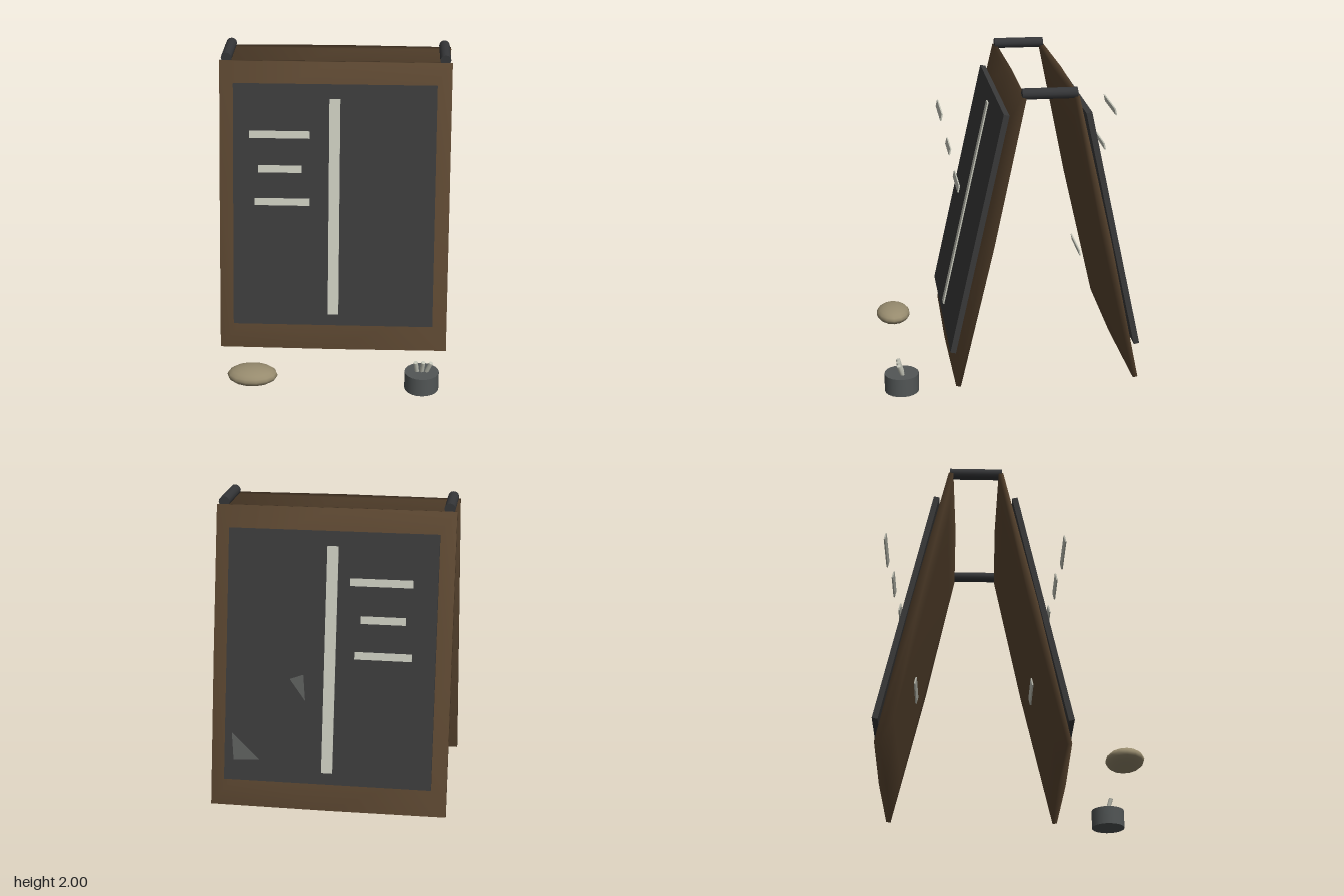
import * as THREE from 'three';

const TILT = 0.216, C = Math.cos(TILT), S = Math.sin(TILT);
const MID_Z = -0.21, LEAF_Y = 1.015, LEAF_Z = 0.365; // leaf centre, measured from the fold plane

const mat = (name, color, extra = {}) =>
  Object.assign(new THREE.MeshStandardMaterial({ color, ...extra }), { name });

// Pillowed wooden panel: thin corners, thicker edge middles, raised inner rectangle
function panelGeometry() {
  const w = 0.75, h = 0.955, iw = 0.55, ih = 0.71;
  const outer = [[-1, -1], [0, -1], [1, -1], [1, 0], [1, 1], [0, 1], [-1, 1], [-1, 0]];
  const pos = [], idx = [];
  for (const s of [1, -1]) {
    outer.forEach(([x, y], i) => pos.push(x * w, y * h, s * (i % 2 ? 0.026 : 0.015)));
    for (let k = 0; k < 4; k++) pos.push(outer[2 * k][0] * iw, outer[2 * k][1] * ih, s * 0.035);
  }
  const tri = (a, b, c) => {
    idx.push(a, b, c);                // front
    idx.push(a + 12, c + 12, b + 12); // back
  };
  for (let k = 0; k < 4; k++) {
    const a = 2 * k, b = a + 1, c = (a + 2) % 8, p = 8 + k, q = 8 + (k + 1) % 4;
    tri(a, b, p);
    tri(b, q, p);
    tri(b, c, q);
  }
  tri(8, 9, 10);
  tri(8, 10, 11);
  for (let i = 0; i < 8; i++) { // rim
    const j = (i + 1) % 8;
    idx.push(i, i + 12, j + 12, i, j + 12, j);
  }
  const g = new THREE.BufferGeometry();
  g.setAttribute('position', new THREE.Float32BufferAttribute(pos, 3));
  g.setIndex(idx);
  g.computeVertexNormals();
  return g;
}

export function createModel() {
  const root = new THREE.Group();
  root.name = 'sandwichBoard';
  const wood = mat('darkWood', 0x5c4731);
  const slate = mat('slate', 0x3a3a3a);
  const chalk = mat('chalk', 0xc6c7ba);
  const smudge = mat('chalkSmudge', 0x5a5c5a);
  const metal = mat('handleMetal', 0x353638);
  const stone = mat('stone', 0x978b6e);
  const tin = mat('tin', 0x525656);

  const add = (parent, name, geo, material, x = 0, y = 0, z = 0) => {
    const m = new THREE.Mesh(geo, material);
    m.name = name;
    m.position.set(x, y, z);
    parent.add(m);
    return m;
  };

  const panel = panelGeometry();
  // Chalk dashes: x, y, distance from fold plane, width
  const dashes = [
    [-0.335, 1.6, 0.583, 0.38], [-0.34, 1.345, 0.525, 0.275],
    [-0.335, 1.095, 0.473, 0.355], [-0.335, 0.595, 0.362, 0.32],
  ];

  // Two leaning leaves, front and back
  for (const side of [1, -1]) {
    const leaf = new THREE.Group();
    leaf.name = side > 0 ? 'frontLeaf' : 'backLeaf';
    leaf.position.set(0, LEAF_Y, MID_Z + side * LEAF_Z);
    leaf.rotation.set(-TILT, side > 0 ? 0 : Math.PI, 0, 'YXZ');
    root.add(leaf);
    add(leaf, 'woodPanel', panel, wood);
    add(leaf, 'slateBoard', new THREE.BoxGeometry(1.31, 1.588, 0.036), slate, 0, 0.019, 0.0635);
    add(leaf, 'chalkLine', new THREE.BoxGeometry(0.07, 1.422, 0.009), chalk, 0, 0.011, 0.088);
    for (const [x, y, z, w] of dashes) {
      const dy = y - LEAF_Y, dz = z - LEAF_Z;
      add(leaf, 'chalkDash', new THREE.BoxGeometry(w, 0.046, 0.009), chalk,
        side * x, dy * C - dz * S, dy * S + dz * C);
    }
    if (side < 0) { // faint smudges on the back slate
      const marks = [
        [[-0.61, 0.57], [-0.595, 0.4], [-0.43, 0.41]],
        [[-0.25, 0.92], [-0.15, 0.79], [-0.165, 0.95]],
      ];
      for (const m of marks) {
        const pts = m.map(([x, y]) => new THREE.Vector2(x, (y - LEAF_Y - 0.083 * S) / C));
        add(leaf, 'smudge', new THREE.ExtrudeGeometry(new THREE.Shape(pts),
          { depth: 0.004, bevelEnabled: false }), smudge, 0, 0, 0.081);
      }
    }
  }

  // Bars joining the leaves at the top
  for (const s of [1, -1]) {
    const bar = add(root, 'topBar', new THREE.CylinderGeometry(0.035, 0.035, 0.335, 12), metal,
      s * 0.705, 1.965, MID_Z);
    bar.rotation.x = Math.PI / 2;
  }

  // Pebble on the ground
  add(root, 'pebble', new THREE.SphereGeometry(1, 14, 10), stone, -0.505, 0.072, 0.71)
    .scale.set(0.162, 0.058, 0.118);

  // Tin with chalk sticks
  add(root, 'tin', new THREE.CylinderGeometry(0.11, 0.11, 0.12, 20), tin, 0.585, 0.06, 0.71);
  [-1, 0, 1].forEach((k) => {
    const stick = add(root, 'chalkStick', new THREE.CylinderGeometry(0.014, 0.014, 0.13, 8), chalk,
      0.587 + k * 0.035, 0.135, 0.712);
    stick.rotation.set(0.3, 0, -0.1 - k * 0.22);
  });

  return root;
}
